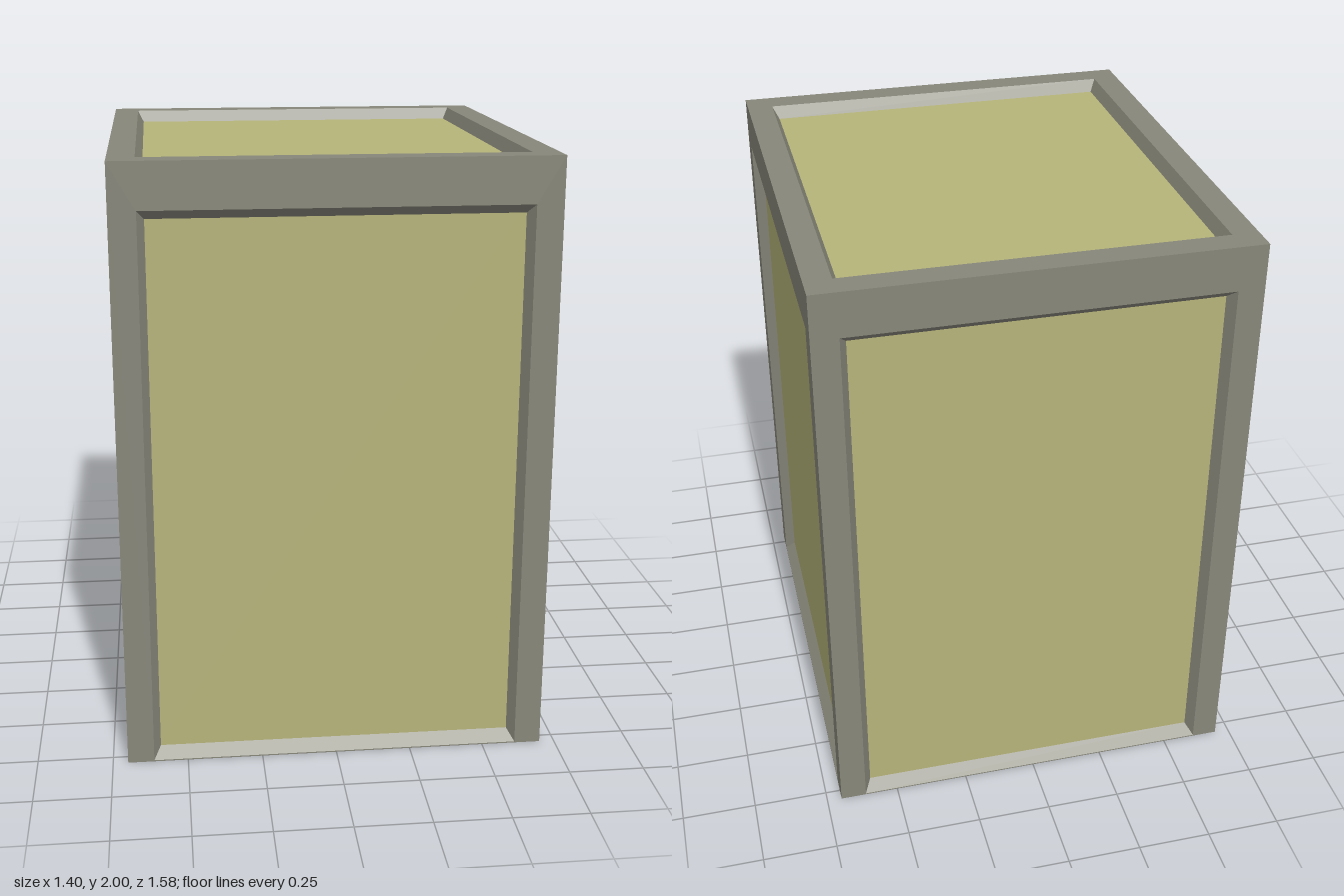
import * as THREE from 'three';

const H = 2, X = 0.7, Z = 0.79;        // overall height and half sizes
const DEPTH = 0.035;                   // how far the walls sit behind the frame
const FLOOR = 0.04, ROOF = 1.96;

const paint = (color) => new THREE.MeshStandardMaterial({ color, flatShading: true });

// Strip of quads joining rectangular loops [halfWidth, bottom, top, depth], facing local +z
function loopStrip(loops) {
  const corners = ([w, b, t, z]) => [[-w, b, z], [w, b, z], [w, t, z], [-w, t, z]];
  const pos = [];
  for (let i = 0; i + 1 < loops.length; i++) {
    const o = corners(loops[i]), n = corners(loops[i + 1]);
    for (let k = 0; k < 4; k++) {
      const m = (k + 1) % 4;
      pos.push(...o[k], ...o[m], ...n[m], ...o[k], ...n[m], ...n[k]);
    }
  }
  const geo = new THREE.BufferGeometry();
  geo.setAttribute('position', new THREE.Float32BufferAttribute(pos, 3));
  geo.computeVertexNormals();
  return geo;
}

export function createModel() {
  const model = new THREE.Group();
  model.name = 'building';
  const stone = paint(0x88877a), wall = paint(0xb6b47a);
  const glass = paint(0x96c4cd), doorPaint = paint(0x807d7e);

  function add(parent, name, geo, mat, pos = [0, 0, 0], rot = [0, 0, 0]) {
    const mesh = new THREE.Mesh(geo, mat);
    mesh.name = name;
    mesh.position.set(...pos);
    mesh.rotation.set(...rot);
    parent.add(mesh);
    return mesh;
  }

  // Bevelled stone frame, one face at a time
  const frame = new THREE.Group();
  frame.name = 'frame';
  model.add(frame);
  const sideFrame = (half) => loopStrip([
    [half, 0, H, 0], [half - 0.087, 0.004, 1.85, 0], [half - 0.11, FLOOR, 1.82, -DEPTH],
  ]);
  const q = Math.PI / 2;
  add(frame, 'frontFrame', sideFrame(X), stone, [0, 0, Z]);
  add(frame, 'backFrame', sideFrame(X), stone, [0, 0, -Z], [0, Math.PI, 0]);
  add(frame, 'leftFrame', sideFrame(Z), stone, [X, 0, 0], [0, q, 0]);
  add(frame, 'rightFrame', sideFrame(Z), stone, [-X, 0, 0], [0, -q, 0]);
  add(frame, 'roofFrame', loopStrip([
    [X, -Z, Z, 0], [0.613, -0.703, 0.703, 0], [0.592, -0.678, 0.678, ROOF - H],
  ]), stone, [0, H, 0], [-q, 0, 0]);
  add(frame, 'baseFrame', loopStrip([
    [X, -Z, Z, 0], [0.61, -0.7, 0.7, 0],
  ]), stone, [0, 0, 0], [q, 0, 0]);
  add(model, 'baseSkirt', loopStrip([
    [0.61, -0.7, 0.7, 0], [0.61, -0.7, 0.7, -FLOOR],
  ]), wall, [0, 0, 0], [q, 0, 0]);

  // Solid body, set back on the window side to take the facade
  const bx = X - DEPTH, bz = Z - DEPTH, recess = 0.07;
  add(model, 'body', new THREE.BoxGeometry(2 * bx - recess, ROOF - FLOOR, 2 * bz), wall,
    [recess / 2, (ROOF + FLOOR) / 2, 0]);

  // Facade openings: [z start, z end, bottom, top]
  const rows = [
    [0.18, [[-0.595, -0.16], [0.25, 0.6]]],
    [0.775, [[-0.595, -0.245], [-0.17, 0.09], [0.165, 0.6]]],
    [1.37, [[-0.595, -0.335], [-0.26, 0.175], [0.25, 0.6]]],
  ];
  const openings = rows.flatMap(([y, spans]) =>
    spans.map(([a, b]) => ({ name: 'window', mat: glass, a, b, y, top: y + 0.388 })));
  openings.push({ name: 'door', mat: doorPaint, a: -0.105, b: 0.19, y: 0.045, top: 0.568 });

  const shape = new THREE.Shape([
    [-bz, FLOOR], [bz, FLOOR], [bz, ROOF], [-bz, ROOF],
  ].map(([u, v]) => new THREE.Vector2(u, v)));
  const back = -bx + recess;
  for (const { name, mat, a, b, y, top } of openings) {
    shape.holes.push(new THREE.Path([
      [a, y], [a, top], [b, top], [b, y],
    ].map(([u, v]) => new THREE.Vector2(u, v))));
    add(model, name, new THREE.PlaneGeometry(b - a, top - y), mat,
      [back - 0.003, (y + top) / 2, (a + b) / 2], [0, -q, 0]);
  }
  add(model, 'facade', new THREE.ExtrudeGeometry(shape, { depth: recess, bevelEnabled: false }),
    wall, [back, 0, 0], [0, -q, 0]);

  return model;
}
